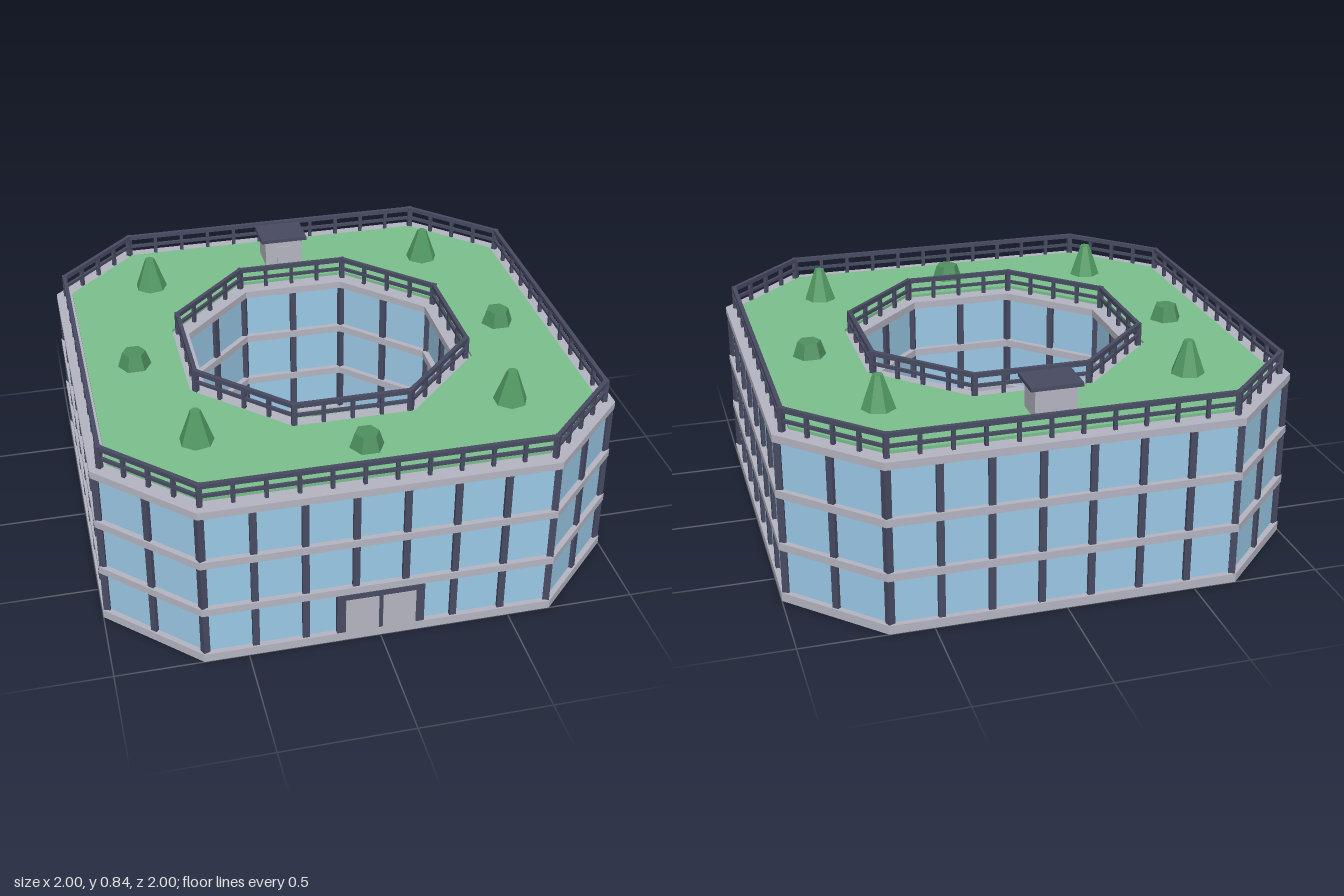
import * as THREE from 'three';

const mat = (name, color) => {
  const m = new THREE.MeshStandardMaterial({ color });
  m.name = name;
  return m;
};

export function createModel() {
  const concrete = mat('concrete', 0xb5b5c3);
  const glass = mat('glass', 0x9ccae8);
  const metal = mat('dark metal', 0x484b62);
  const lawn = mat('lawn', 0x7abf8d);
  const leaf = mat('tree leaf', 0x529a63);
  const bush = mat('shrub leaf', 0x4e905f);
  const bark = mat('bark', 0x5f4a3a);
  for (const m of [leaf, bush, bark]) m.flatShading = true;

  const root = new THREE.Group();
  root.name = 'courtyardBuilding';

  const group = (name, parent = root) => {
    const g = new THREE.Group();
    g.name = name;
    parent.add(g);
    return g;
  };
  const add = (parent, name, geometry, material, x = 0, y = 0, z = 0, turn = 0) => {
    const m = new THREE.Mesh(geometry, material);
    m.name = name;
    m.position.set(x, y, z);
    m.rotation.y = turn;
    parent.add(m);
    return m;
  };
  const box = (parent, name, material, w, h, d, x, y, z, turn) =>
    add(parent, name, new THREE.BoxGeometry(w, h, d), material, x, y, z, turn);

  // Chamfered-square outlines given by their half width; offsets keep edges parallel
  const T = Math.tan(Math.PI / 8);
  const octagon = (h, c) => [[c, h], [h, c], [h, -c], [c, -h], [-c, -h], [-h, -c], [-h, c], [-c, h]]
    .map(([x, z]) => new THREE.Vector2(x, z));
  const outer = (h) => octagon(h, 0.667 - (1 - h) * T);
  const inner = (h) => octagon(h, h * T);

  // Upright prism; the hole winds opposite to the outline so its walls face the courtyard
  const prism = (parent, name, material, y0, y1, outline, hole) => {
    const shape = new THREE.Shape(outline);
    if (hole) shape.holes.push(new THREE.Path([...hole].reverse()));
    const g = new THREE.ExtrudeGeometry(shape, { depth: y1 - y0, bevelEnabled: false });
    g.rotateX(-Math.PI / 2);
    return add(parent, name, g, material, 0, y0, 0);
  };

  // Visits every edge of an outline with its ends, length and heading
  const eachEdge = (pts, fn) => pts.forEach((a, i) => {
    const b = pts[(i + 1) % pts.length];
    fn(a, b, a.distanceTo(b), Math.atan2(-(b.y - a.y), b.x - a.x));
  });

  // Floor slabs and glazed storeys
  const slabs = [[0, 0.035], [0.215, 0.245], [0.43, 0.46], [0.65, 0.68]];
  const floors = group('floors');
  slabs.forEach(([y0, y1], i) => {
    prism(floors, 'floorSlab', concrete, y0, y1, outer(1), inner(0.502));
    if (i < 3) prism(floors, 'glassWall', glass, y1, slabs[i + 1][0], outer(0.978), inner(0.525));
  });

  // Mullions, at each corner and between bays
  const mullions = group('mullions');
  const addMullions = (pts, baysFor) => eachEdge(pts, (a, b, length, turn) => {
    const bays = baysFor(length);
    for (let k = 0; k < bays; k++) {
      const p = a.clone().lerp(b, k / bays);
      const angle = k === 0 ? turn + Math.PI / 8 : turn;
      for (let i = 0; i < 3; i++) {
        const y0 = slabs[i][1], y1 = slabs[i + 1][0];
        box(mullions, 'mullion', metal, 0.026, y1 - y0, 0.026, p.x, (y0 + y1) / 2, p.y, angle);
      }
    }
  });
  addMullions(outer(0.98), (l) => (l > 1 ? 7 : 2));
  addMullions(inner(0.522), () => 2);

  // Roof garden
  const roofY = 0.692;
  prism(root, 'roofLawn', lawn, 0.67, roofY, outer(0.935), inner(0.567));

  // Railings around the roof and the courtyard
  const addRailing = (name, pts, baysFor) => {
    const g = group(name);
    eachEdge(pts, (a, b, length, turn) => {
      const mid = a.clone().lerp(b, 0.5);
      box(g, 'topRail', metal, length + 0.006, 0.018, 0.016, mid.x, 0.765, mid.y, turn);
      box(g, 'middleRail', metal, length + 0.004, 0.012, 0.012, mid.x, 0.722, mid.y, turn);
      const bays = baysFor(length);
      for (let k = 0; k < bays; k++) {
        const p = a.clone().lerp(b, k / bays);
        const w = k === 0 ? 0.02 : 0.014;
        box(g, 'railPost', metal, w, 0.094, w, p.x, 0.727, p.y, turn);
      }
    });
  };
  addRailing('roofRailing', outer(0.96), (l) => (l > 1 ? 11 : 4));
  addRailing('courtyardRailing', inner(0.543), () => 4);

  // Entrance with a pair of doors
  const entrance = group('entrance');
  box(entrance, 'doorFrame', metal, 0.335, 0.175, 0.03, 0, 0.1225, 0.983);
  for (const s of [-1, 1]) {
    box(entrance, 'doorLeaf', concrete, 0.126, 0.152, 0.006, s * 0.071, 0.111, 0.997);
  }

  // Roof access house
  const house = group('roofHouse');
  box(house, 'houseWalls', concrete, 0.16, 0.13, 0.13, 0, 0.74, -0.765);
  box(house, 'houseRoof', metal, 0.2, 0.015, 0.155, 0, 0.8125, -0.763);
  box(house, 'houseDoor', concrete, 0.06, 0.085, 0.006, 0, 0.735, -0.698);

  // Planting
  const tree = (x, y, z, r, h) => {
    const g = group('tree');
    g.position.set(x, y, z);
    const trunk = h * 0.1;
    add(g, 'trunk', new THREE.CylinderGeometry(r * 0.25, r * 0.3, trunk, 6), bark, 0, trunk / 2, 0);
    add(g, 'crown', new THREE.CylinderGeometry(r * 0.3, r, h - trunk, 7), leaf,
      0, (h + trunk) / 2, 0, Math.PI / 2);
  };
  const shrub = (x, y, z, r, h) =>
    add(root, 'shrub', new THREE.CylinderGeometry(r * 0.7, r, h, 6), bush, x, y + h / 2, z, Math.PI / 2);

  for (const sx of [-1, 1]) {
    for (const sz of [-1, 1]) {
      tree(sx * 0.6, roofY, sz * 0.6, 0.066, 0.145);
      shrub(sx * 0.255, 0.02, sz * 0.255, 0.042, 0.05);
    }
  }
  for (const [x, z] of [[-0.75, 0], [0.75, 0], [0, 0.75]]) shrub(x, roofY, z, 0.066, 0.06);

  // Courtyard
  prism(root, 'courtyardLawn', lawn, 0, 0.02, inner(0.502));
  prism(root, 'courtyardPaving', concrete, 0.015, 0.025, inner(0.19));
  tree(0, 0.025, 0, 0.127, 0.3);

  return root;
}
